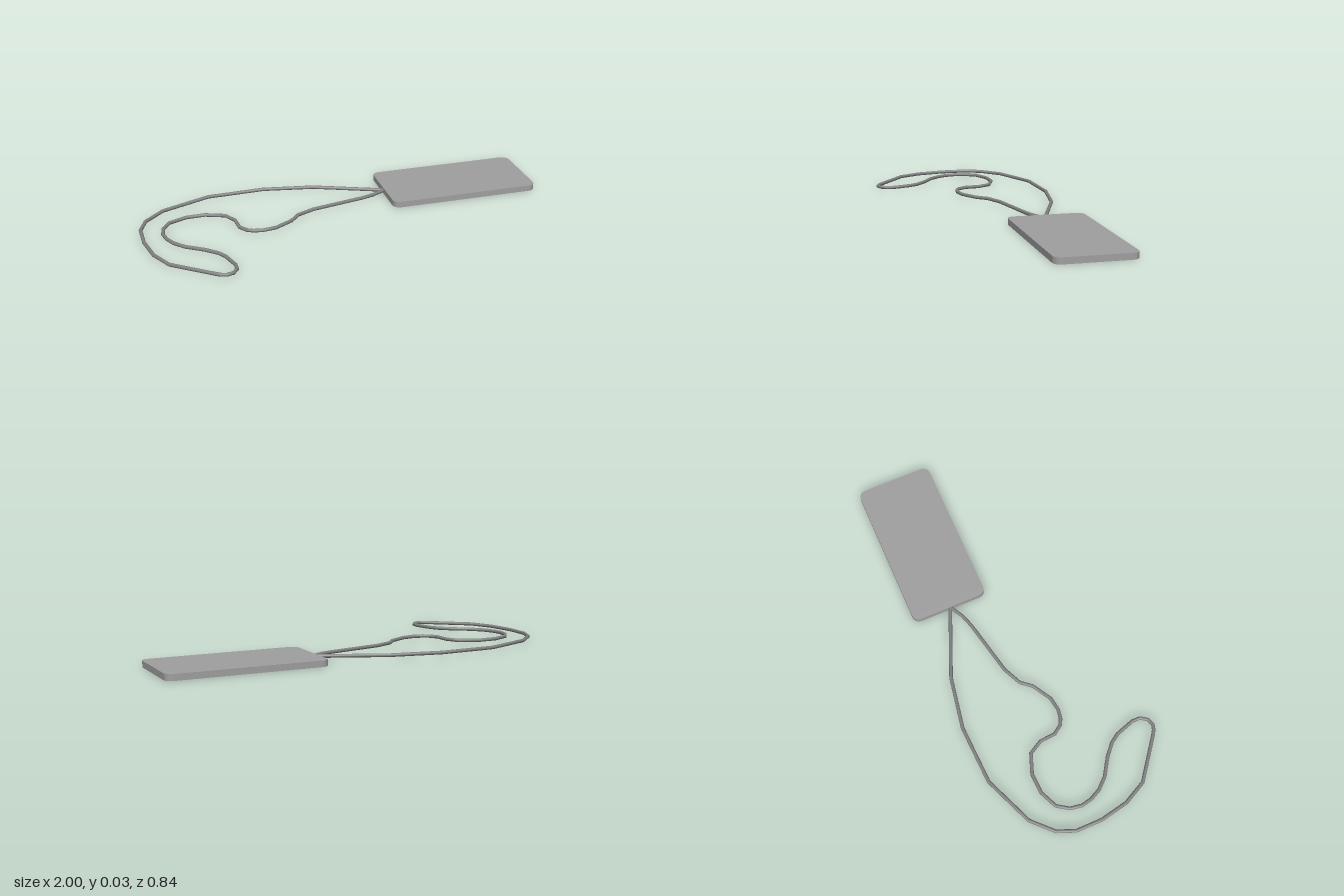
import * as THREE from 'three';

const THICKNESS = 0.03;

// Curve that steps exactly through its corner points, with averaged tangents at each corner
class Polyline extends THREE.Curve {
  constructor(points) {
    super();
    this.points = points;
  }
  getPoint(t, target = new THREE.Vector3()) {
    const last = this.points.length - 1;
    const f = THREE.MathUtils.clamp(t, 0, 1) * last;
    const i = Math.min(Math.floor(f + 1e-6), last - 1);
    return target.lerpVectors(this.points[i], this.points[i + 1], f - i);
  }
  getPointAt(u, target) {
    return this.getPoint(u, target);
  }
  getTangentAt(u, target = new THREE.Vector3()) {
    const last = this.points.length - 1;
    const i = Math.round(u * last);
    const p = this.points[i];
    const before = p.clone().sub(this.points[Math.max(i - 1, 0)]).normalize();
    const after = this.points[Math.min(i + 1, last)].clone().sub(p).normalize();
    return target.copy(before).add(after).normalize();
  }
}

// Flat card with faceted round corners, lying on the ground
function makeCard() {
  const x0 = 0.245, x1 = 1, z0 = -0.42, z1 = -0.045, r = 0.035;
  const shape = new THREE.Shape();
  shape.absarc(x1 - r, -z0 - r, r, 0, Math.PI / 2);
  shape.absarc(x0 + r, -z0 - r, r, Math.PI / 2, Math.PI);
  shape.absarc(x0 + r, -z1 + r, r, Math.PI, Math.PI * 1.5);
  shape.absarc(x1 - r, -z1 + r, r, Math.PI * 1.5, Math.PI * 2);
  const geometry = new THREE.ExtrudeGeometry(shape, { depth: THICKNESS, bevelEnabled: false, curveSegments: 2 });
  geometry.rotateX(-Math.PI / 2);
  const card = new THREE.Mesh(geometry, new THREE.MeshStandardMaterial({ color: 0xa0a0a0 }));
  card.name = 'card';
  return card;
}

// Looped cord, starting and ending at the middle of the card's short edge
function makeCord() {
  const path = [
    // outer sweep
    [0.25, -0.232], [-0.085, -0.368], [-0.335, -0.414], [-0.62, -0.404], [-0.86, -0.307],
    [-0.955, -0.215], [-0.99, -0.128], [-0.991, 0], [-0.965, 0.137], [-0.91, 0.247],
    // tip
    [-0.73, 0.387], [-0.705, 0.404], [-0.68, 0.411], [-0.65, 0.401], [-0.628, 0.37], [-0.627, 0.33],
    // inner return
    [-0.655, 0.24], [-0.68, 0.2], [-0.735, 0.15], [-0.815, 0.097], [-0.86, 0.047],
    [-0.885, -0.005], [-0.895, -0.055], [-0.885, -0.112], [-0.848, -0.167], [-0.765, -0.203],
    [-0.67, -0.206], [-0.576, -0.17], [-0.541, -0.105], [-0.536, -0.03], [-0.508, 0.01],
    [-0.48, 0.026], [-0.435, 0.034], [-0.37, 0.024], [-0.28, -0.028], [-0.238, -0.078],
    [-0.15, -0.118], [0.12, -0.175], [0.18, -0.194], [0.25, -0.232],
  ].map(([x, z]) => new THREE.Vector3(x, THICKNESS / 2, z));
  const geometry = new THREE.TubeGeometry(new Polyline(path), path.length - 1, 0.0087, 12, false);
  const cord = new THREE.Mesh(geometry, new THREE.MeshStandardMaterial({ color: 0x808080 }));
  cord.name = 'cord';
  return cord;
}

export function createModel() {
  const group = new THREE.Group();
  group.name = 'tagWithCord';
  group.add(makeCard(), makeCord());
  return group;
}
